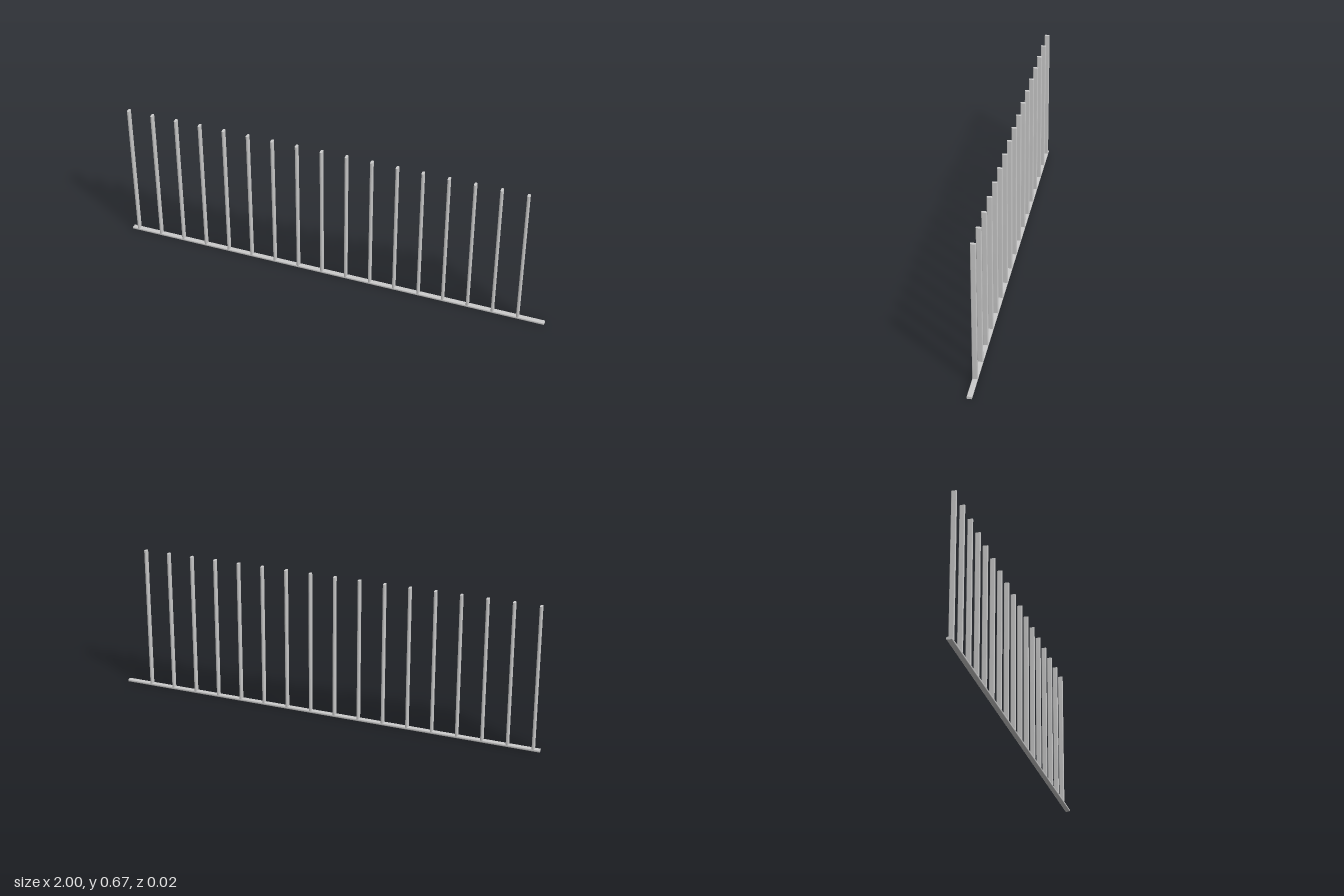
import * as THREE from 'three';
import { toCreasedNormals } from 'three/addons/utils/BufferGeometryUtils.js';

const THICK = 0.012, DEPTH = 0.024, HEIGHT = 0.674;
const POSTS = 17, FIRST_X = -0.97, LAST_X = 0.878;

// Flat bar with rounded long edges, running along +z before it is turned
function barGeometry(length) {
  const w = THICK / 2, d = DEPTH / 2, r = 0.005;
  const s = new THREE.Shape();
  s.moveTo(-w + r, -d);
  s.lineTo(w - r, -d);
  s.absarc(w - r, -d + r, r, -Math.PI / 2, 0);
  s.lineTo(w, d - r);
  s.absarc(w - r, d - r, r, 0, Math.PI / 2);
  s.lineTo(-w + r, d);
  s.absarc(-w + r, d - r, r, Math.PI / 2, Math.PI);
  s.lineTo(-w, -d + r);
  s.absarc(-w + r, -d + r, r, Math.PI, Math.PI * 1.5);
  const geo = new THREE.ExtrudeGeometry(s, { depth: length, bevelEnabled: false, curveSegments: 4 });
  return toCreasedNormals(geo, 0.7);
}

export function createModel() {
  const group = new THREE.Group();
  group.name = 'railing';
  const material = new THREE.MeshStandardMaterial({ color: 0xcccccc });

  // Bottom rail, lying flat along x
  const railGeo = barGeometry(2);
  railGeo.translate(0, 0, -1).rotateX(-Math.PI / 2).rotateZ(Math.PI / 2);
  const rail = new THREE.Mesh(railGeo, material);
  rail.name = 'bottomRail';
  rail.position.y = THICK / 2;
  group.add(rail);

  // Evenly spaced upright bars standing on the rail
  const base = THICK - 0.002;
  const postGeo = barGeometry(HEIGHT - base);
  postGeo.rotateX(-Math.PI / 2);
  for (let i = 0; i < POSTS; i++) {
    const post = new THREE.Mesh(postGeo, material);
    post.name = `upright${i + 1}`;
    post.position.set(THREE.MathUtils.lerp(FIRST_X, LAST_X, i / (POSTS - 1)), base, 0);
    group.add(post);
  }
  return group;
}
